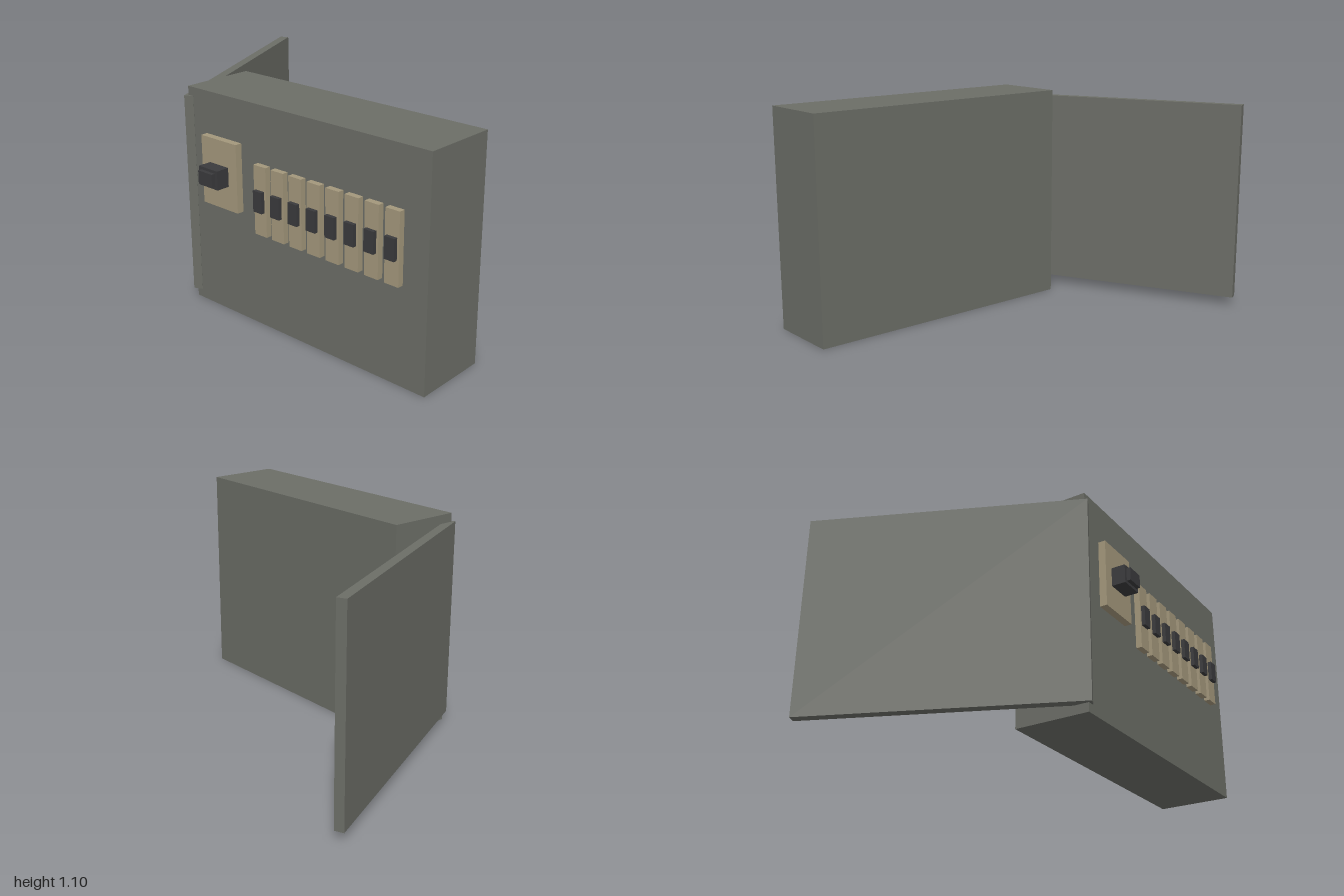
import * as THREE from 'three';

const paint = (name, color) => {
  const m = new THREE.MeshStandardMaterial({ color });
  m.name = name;
  return m;
};

export function createModel() {
  const model = new THREE.Group();
  model.name = 'breakerPanel';
  const grey = paint('cabinetGrey', 0x6b6d66);
  const tan = paint('switchTan', 0xa3977b);
  const black = paint('leverBlack', 0x3a3a3c);

  // Box given by its minimum and maximum along each axis
  const block = (name, mat, [x0, x1], [y0, y1], [z0, z1], parent = model) => {
    const mesh = new THREE.Mesh(new THREE.BoxGeometry(x1 - x0, y1 - y0, z1 - z0), mat);
    mesh.position.set((x0 + x1) / 2, (y0 + y1) / 2, (z0 + z1) / 2);
    mesh.name = name;
    parent.add(mesh);
    return mesh;
  };

  // Cabinet
  const face = 0.543;
  block('cabinet', grey, [-0.437, 1], [0, 1.098], [0.168, face]);

  // Door swung open past the hinge corner
  const door = new THREE.Mesh(new THREE.BoxGeometry(0.047, 1.01, 1.331), grey);
  door.name = 'door';
  door.position.set(-0.701, 0.549, -0.051);
  door.rotation.y = 0.43;
  model.add(door);

  // Main switch with a two-step lever
  const main = new THREE.Group();
  main.name = 'mainSwitch';
  model.add(main);
  block('mainPlate', tan, [-0.316, -0.082], [0.553, 0.89], [face, 0.579], main);
  block('mainLever', black, [-0.262, -0.138], [0.674, 0.767], [0.579, 0.648], main);
  block('mainLeverTip', black, [-0.246, -0.154], [0.688, 0.753], [0.648, 0.668], main);

  // Row of small breakers
  for (let i = 0; i < 8; i++) {
    const x = 0.064 + i * 0.1098;
    const breaker = new THREE.Group();
    breaker.name = `breaker${i + 1}`;
    model.add(breaker);
    block('breakerBody', tan, [x - 0.038, x + 0.038], [0.482, 0.821], [face, 0.573], breaker);
    block('breakerToggle', black, [x - 0.027, x + 0.027], [0.601, 0.704], [0.573, 0.592], breaker);
  }
  return model;
}
